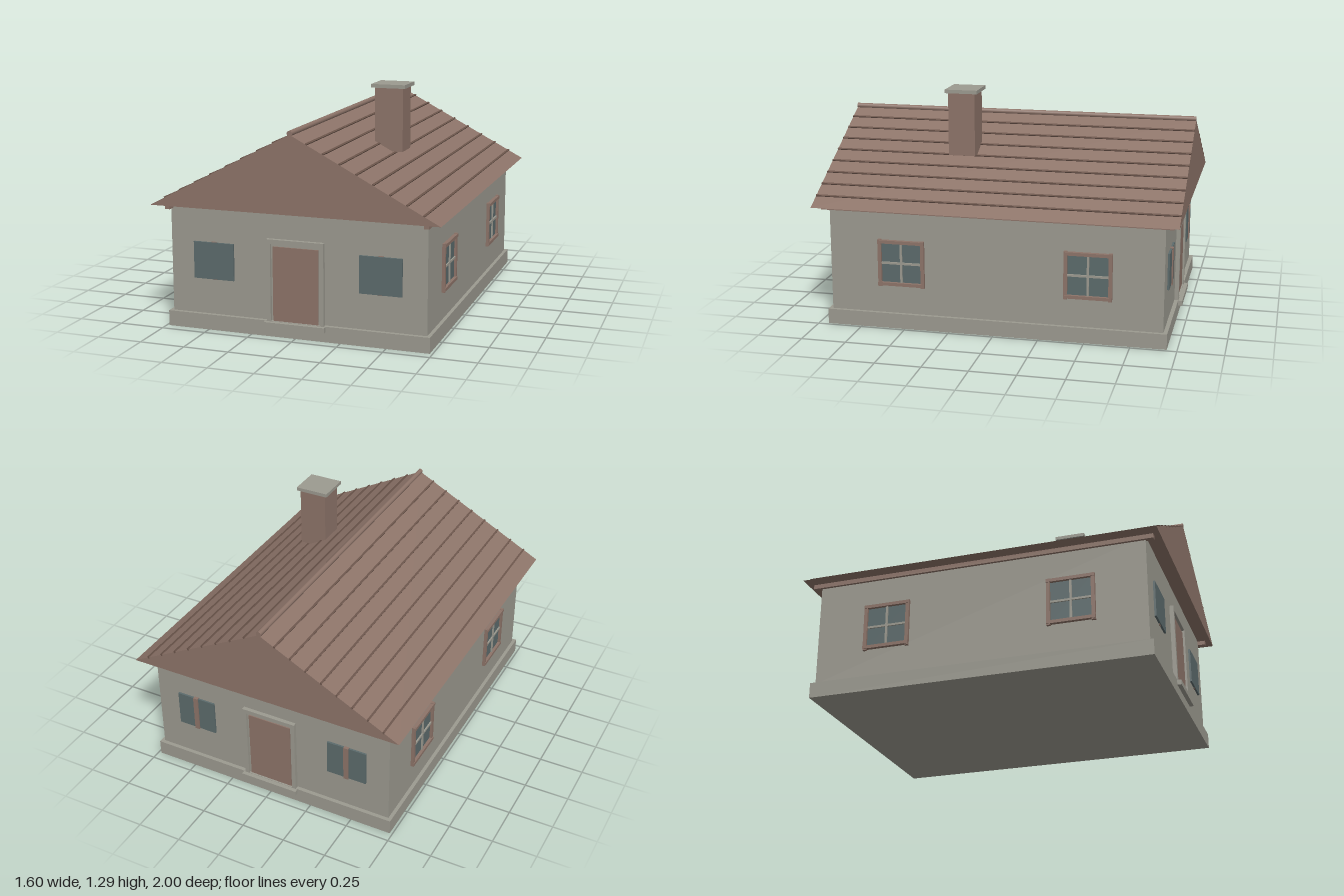
import * as THREE from 'three';

const mat = (name, color) => {
  const m = new THREE.MeshStandardMaterial({ color });
  m.name = name;
  return m;
};

export function createModel() {
  const brown = mat('roof brown', 0x8d7469);
  const ribBrown = mat('rib brown', 0x6b554b);
  const grey = mat('plaster grey', 0x9c9a90);
  const glass = mat('glass', 0x5c6b6c);

  const house = new THREE.Group();
  house.name = 'house';

  // box given by its lower and upper limits on each axis
  const box = (parent, name, material, [x0, x1], [y0, y1], [z0, z1]) => {
    const mesh = new THREE.Mesh(new THREE.BoxGeometry(x1 - x0, y1 - y0, z1 - z0), material);
    mesh.position.set((x0 + x1) / 2, (y0 + y1) / 2, (z0 + z1) / 2);
    mesh.name = name;
    parent.add(mesh);
    return mesh;
  };
  const group = (name) => {
    const g = new THREE.Group();
    g.name = name;
    house.add(g);
    return g;
  };

  // plinth and walls
  box(house, 'plinth', grey, [-0.735, 0.735], [0, 0.085], [-0.945, 0.945]);
  box(house, 'walls', grey, [-0.715, 0.715], [0.085, 0.68], [-0.923, 0.923]);

  // solid gabled roof
  const gable = new THREE.Shape([[-0.8, 0.68], [0.8, 0.68], [0, 1.1]].map((p) => new THREE.Vector2(...p)));
  const roof = new THREE.Mesh(new THREE.ExtrudeGeometry(gable, { depth: 2, bevelEnabled: false }), brown);
  roof.position.z = -1;
  roof.name = 'roof';
  house.add(roof);

  const ridge = new THREE.Mesh(new THREE.CylinderGeometry(0.015, 0.015, 2, 12), brown);
  ridge.rotation.x = Math.PI / 2;
  ridge.position.y = 1.105;
  ridge.name = 'ridge';
  house.add(ridge);

  // roof ribs and eave boards on both slopes
  const slope = Math.atan2(0.42, 0.8);
  for (const side of [-1, 1]) {
    for (let i = 1; i <= 8; i++) {
      const x = (0.8 * i) / 9;
      const rib = new THREE.Mesh(new THREE.BoxGeometry(0.011, 0.012, 2), ribBrown);
      rib.position.set(side * x, 1.1 - x * 0.525, 0);
      rib.rotation.z = -side * slope;
      rib.name = 'roofRib';
      house.add(rib);
    }
    const eave = box(house, 'eaveBoard', brown, [0.702, 0.73], [0.655, 0.682], [-0.967, 0.967]);
    eave.position.x *= side;
  }

  // chimney
  box(house, 'chimney', brown, [0.24, 0.4], [0.92, 1.27], [0.18, 0.33]);
  box(house, 'chimneyCap', grey, [0.222, 0.415], [1.27, 1.29], [0.163, 0.345]);

  // gable ends: door, step and two plain windows
  const buildEnd = (name, mullionDepth) => {
    const end = group(name);
    box(end, 'doorPanel', grey, [-0.138, 0.138], [0.085, 0.507], [0.915, 0.929]);
    box(end, 'door', brown, [-0.127, 0.127], [0.083, 0.49], [0.92, 0.936]);
    for (const s of [-1, 1]) {
      const jamb = box(end, 'doorJamb', grey, [0.137, 0.16], [0.06, 0.53], [0.915, 0.946]);
      jamb.position.x *= s;
    }
    box(end, 'doorLintel', grey, [-0.137, 0.137], [0.506, 0.53], [0.915, 0.946]);
    box(end, 'doorStep', grey, [-0.17, 0.17], [0.055, 0.083], [0.915, 0.968]);
    for (const c of [-0.467, 0.467]) {
      box(end, 'endWindow', glass, [c - 0.115, c + 0.115], [0.28, 0.482], [0.915, 0.934]);
      box(end, 'endMullion', brown, [c - 0.014, c + 0.014], [0.276, 0.486], [0.915, mullionDepth]);
    }
    return end;
  };
  buildEnd('frontEnd', 0.928);
  buildEnd('backEnd', 0.941).rotation.y = Math.PI;

  // framed four-pane windows on the long walls
  const buildSide = (name) => {
    const wall = group(name);
    for (const c of [-0.517, 0.517]) {
      const z = (a, b) => [c + a, c + b];
      box(wall, 'sideGlass', glass, [0.705, 0.719], [0.25, 0.495], z(-0.115, 0.115));
      box(wall, 'verticalBar', grey, [0.71, 0.727], [0.255, 0.49], z(-0.006, 0.006));
      box(wall, 'horizontalBar', grey, [0.71, 0.727], [0.366, 0.378], z(-0.115, 0.115));
      for (const s of [-1, 1]) {
        const post = box(wall, 'windowPost', brown, [0.705, 0.732], [0.239, 0.505], z(-0.01, 0.01));
        post.position.z += s * 0.121;
      }
      box(wall, 'windowSill', brown, [0.705, 0.736], [0.245, 0.263], z(-0.131, 0.131));
      box(wall, 'windowHead', brown, [0.705, 0.736], [0.484, 0.502], z(-0.131, 0.131));
    }
    return wall;
  };
  buildSide('leftWindows');
  buildSide('rightWindows').rotation.y = Math.PI;

  return house;
}
